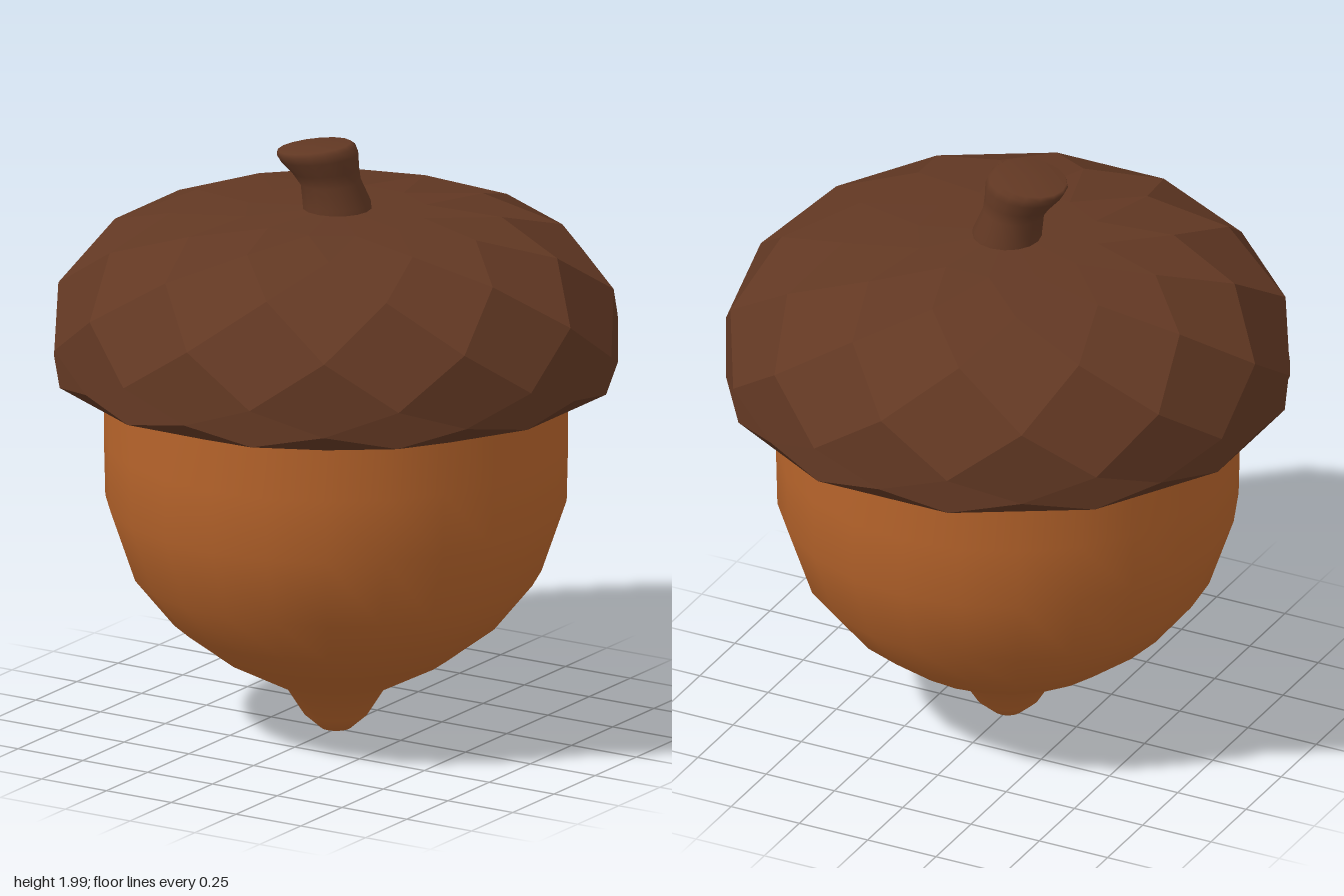
import * as THREE from 'three';
import { mergeVertices } from 'three/addons/utils/BufferGeometryUtils.js';

const SIDES = 12;

// Faceted cap: staggered rings, filled with diamond facets that each share one normal
function capGeometry() {
  // [radius, height]; every other ring is turned by half a step
  const rings = [[0.3, 1.766], [0.54, 1.75], [0.755, 1.67], [0.905, 1.51], [0.94, 1.35], [0.92, 1.265], [0.922, 1.222], [0.8, 1.188]];
  const turned = (r) => (r + 1) % 2;
  const point = (r, k) => {
    const a = (k + turned(r) / 2) / SIDES * Math.PI * 2;
    return new THREE.Vector3(rings[r][0] * Math.sin(a), rings[r][1], rings[r][0] * Math.cos(a));
  };
  const pos = [], nor = [];
  const facet = (corners, normal) => {
    for (const v of corners) {
      pos.push(v.x, v.y, v.z);
      nor.push(normal.x, normal.y, normal.z);
    }
  };
  const normalOf = (a, b, c) => b.clone().sub(a).cross(c.clone().sub(a)).normalize();
  const triangle = (a, b, c) => facet([a, b, c], normalOf(a, b, c));
  const crown = new THREE.Vector3(0, 1.78, 0);
  const underside = new THREE.Vector3(0, 1.188, 0);
  const last = rings.length - 1;
  for (let k = 0; k < SIDES; k++) {
    // Diamonds from ring r to r + 2, with side corners on ring r + 1
    for (let r = 0; r + 2 <= last; r++) {
      const s = turned(r);
      const top = point(r, k), left = point(r + 1, k + s - 1), right = point(r + 1, k + s), bottom = point(r + 2, k);
      facet([top, left, right, left, bottom, right], normalOf(left, bottom, right).add(normalOf(top, left, right)).normalize());
    }
    // Crown
    triangle(crown, point(0, k), point(0, k + 1));
    triangle(point(0, k), point(1, k + 1), point(0, k + 1));
    // Rim and underside
    triangle(point(last - 1, k), point(last, k), point(last, k + 1));
    triangle(underside, point(last, k + 1), point(last, k));
  }
  const geo = new THREE.BufferGeometry();
  geo.setAttribute('position', new THREE.Float32BufferAttribute(pos, 3));
  geo.setAttribute('normal', new THREE.Float32BufferAttribute(nor, 3));
  return geo;
}

const lathe = (points, sides) => new THREE.LatheGeometry(points.map(([r, y]) => new THREE.Vector2(r, y)), sides);

// Stem that leans sideways, with a tilted, softly rounded end
function stemGeometry() {
  const turned = lathe([[0.115, 1.74], [0.113, 1.79], [0.1, 1.86], [0.11, 1.9], [0.128, 1.945], [0.13, 1.968],
    [0.12, 1.98], [0, 1.983]], 16);
  turned.deleteAttribute('normal');
  turned.deleteAttribute('uv');
  const geo = mergeVertices(turned);
  const p = geo.attributes.position;
  for (let i = 0; i < p.count; i++) {
    const x = p.getX(i), y = p.getY(i), z = p.getZ(i);
    const t = Math.max(0, (y - 1.76) / 0.22);
    p.setXYZ(i, x - 0.068 * t ** 1.5, y + x * 0.14 * t, z - 0.012 + 0.037 * t ** 1.5);
  }
  geo.computeVertexNormals();
  return geo;
}

export function createModel() {
  const shell = new THREE.MeshStandardMaterial({ name: 'nut brown', color: 0xb7642b });
  const bark = new THREE.MeshStandardMaterial({ name: 'cap brown', color: 0x623823 });
  const group = new THREE.Group();
  group.name = 'acorn';
  const add = (name, geo, mat) => {
    const mesh = new THREE.Mesh(geo, mat);
    mesh.name = name;
    group.add(mesh);
  };

  // Smooth nut with a pointed tip
  add('nut', lathe([[0, 0.005], [0.05, 0.012], [0.105, 0.06], [0.165, 0.155], [0.375, 0.265], [0.54, 0.39],
    [0.67, 0.55], [0.752, 0.79], [0.757, 1.0], [0.757, 1.22]], 24), shell);

  add('cap', capGeometry(), bark);
  add('stem', stemGeometry(), bark);
  return group;
}
